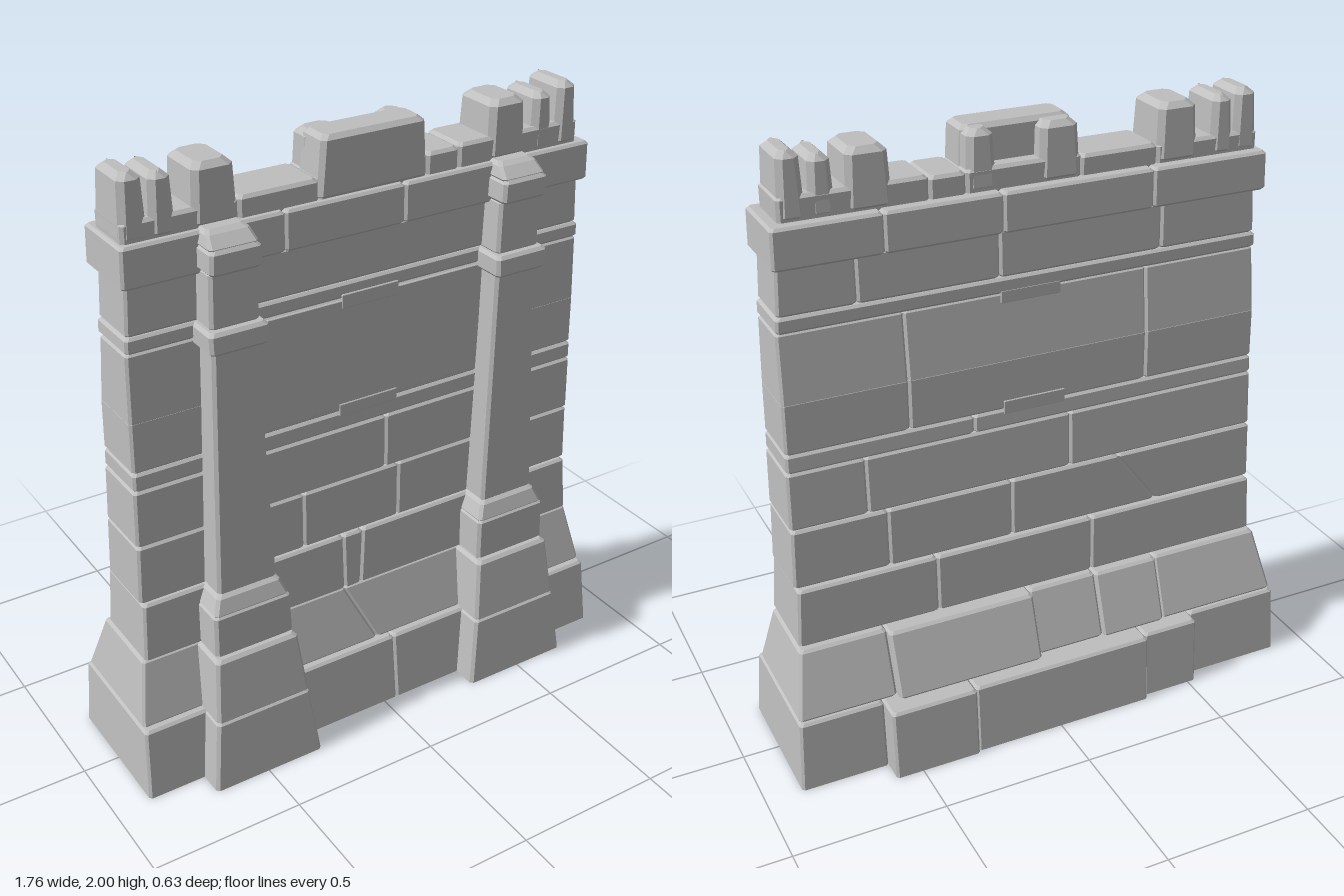
import * as THREE from 'three';

const stone = new THREE.MeshStandardMaterial({ color: 0xbfbfbf });
stone.name = 'grey stone';

// Chamfered, tapering stone. Rectangles are [x0, x1, z0, z1] at the bottom and the top.
function block(name, y0, y1, bottom, top, c = 0.008) {
  const ring = (t, inset) => {
    let [x0, x1, z0, z1] = bottom.map((v, i) => v + (top[i] - v) * t);
    x0 += inset; x1 -= inset; z0 += inset; z1 -= inset;
    const y = y0 + (y1 - y0) * t;
    return [[x1, z1 - c], [x1, z0 + c], [x1 - c, z0], [x0 + c, z0],
      [x0, z0 + c], [x0, z1 - c], [x0 + c, z1], [x1 - c, z1]]
      .map(([x, z]) => new THREE.Vector3(x, y, z));
  };
  const e = c / (y1 - y0);
  const rings = [ring(0, y0 === 0 ? 0 : c), ring(e, 0), ring(1 - e, 0), ring(1, c)];
  const points = [];
  for (let i = 0; i < 3; i++) {
    for (let j = 0; j < 8; j++) {
      const k = (j + 1) % 8;
      const [p, q, r, s] = [rings[i][j], rings[i][k], rings[i + 1][k], rings[i + 1][j]];
      points.push(p, q, r, p, r, s);
    }
  }
  for (let j = 1; j < 7; j++) {
    points.push(rings[0][0], rings[0][j + 1], rings[0][j]);
    points.push(rings[3][0], rings[3][j], rings[3][j + 1]);
  }
  const geometry = new THREE.BufferGeometry().setFromPoints(points);
  geometry.computeVertexNormals();
  const mesh = new THREE.Mesh(geometry, stone);
  mesh.name = name;
  return mesh;
}

// One course of bricks. b and t are [half width, front z, back z] at the bottom and top.
// A joint is an x value, or [bottom x, top x] where the joint runs along a slanted crack.
function course({ name, y, b, t, front = [], back = [], push = [] }) {
  const group = new THREE.Group();
  group.name = name;
  const edges = (joints) => [[-b[0], -t[0]], ...joints.map((j) => (Array.isArray(j) ? j : [j, j])), [b[0], t[0]]];
  const f = edges(front);
  for (let i = 0; i + 1 < f.length; i++) {
    group.add(block('frontBrick', y[0], y[1],
      [f[i][0], f[i + 1][0], -0.02, b[1]], [f[i][1], f[i + 1][1], -0.02, t[1]]));
  }
  const k = edges(back);
  for (let i = 0; i + 1 < k.length; i++) {
    const d = push[i] || 0;
    group.add(block('backBrick', y[0], y[1],
      [k[i][0], k[i + 1][0], b[2] - d, 0.05], [k[i][1], k[i + 1][1], t[2] - d, 0.05]));
  }
  return group;
}

const COURSES = [
  { name: 'footingCourse', y: [0, 0.24], b: [0.88, 0.23, -0.24], t: [0.867, 0.205, -0.225],
    front: [0.05], back: [-0.53, -0.33, 0.3, 0.59], push: [0, 0.045, 0.065, 0.075, 0] },
  { name: 'slopedCourse', y: [0.24, 0.45], b: [0.865, 0.185, -0.215], t: [0.825, 0.13, -0.14],
    front: [[0, -0.1], [0.68, 0.58]], back: [-0.43, -0.2, 0.04, 0.54], push: [0, 0.008, 0, 0.028, 0] },
  { name: 'plinthCourse', y: [0.45, 0.65], b: [0.82, 0.14, -0.12], t: [0.808, 0.13, -0.115],
    front: [-0.1, [-0.04, -0.025]], back: [-0.2, 0.35] },
  { name: 'lowerCourse', y: [0.65, 0.85], b: [0.815, 0.12, -0.098], t: [0.808, 0.12, -0.095],
    front: [-0.24, 0.115], back: [[-0.45, -0.3], 0.08, 0.5] },
  { name: 'middleCourse', y: [0.85, 1.04], b: [0.81, 0.12, -0.09], t: [0.806, 0.12, -0.082],
    front: [0.065], back: [-0.13, 0.56] },
  { name: 'thinCourse', y: [1.04, 1.1], b: [0.805, 0.12, -0.083], t: [0.804, 0.12, -0.08], back: [0.2] },
  { name: 'panelCourseLower', y: [1.1, 1.27], b: [0.804, 0.118, -0.08], t: [0.802, 0.118, -0.078], back: [-0.4, 0.41] },
  { name: 'panelCourseUpper', y: [1.255, 1.48], b: [0.802, 0.118, -0.078], t: [0.797, 0.115, -0.055], back: [-0.4, 0.41] },
  { name: 'bandCourse', y: [1.48, 1.53], b: [0.798, 0.12, -0.066], t: [0.796, 0.12, -0.066] },
  { name: 'upperCourse', y: [1.53, 1.68], b: [0.792, 0.115, -0.062], t: [0.785, 0.115, -0.058], back: [-0.45, 0.1, 0.55] },
  { name: 'cornice', y: [1.68, 1.805], b: [0.803, 0.14, -0.095], t: [0.8, 0.14, -0.092],
    front: [-0.295, 0.11], back: [-0.4, 0.1, 0.47] },
];

// Pilaster stones stacked up: y range, then [half width, front z] at the bottom and top.
const PILASTER = [
  ['buttressFoot', 0, 0.24, [0.193, 0.315], [0.165, 0.29]],
  ['buttressSlope', 0.232, 0.45, [0.165, 0.29], [0.143, 0.26]],
  ['pilasterPlinth', 0.45, 0.6, [0.136, 0.245], [0.132, 0.24]],
  ['pilasterPlinthSlope', 0.59, 0.655, [0.132, 0.24], [0.106, 0.215]],
  ['pilasterShaft', 0.65, 1.465, [0.102, 0.21], [0.074, 0.193]],
  ['pilasterBand', 1.46, 1.53, [0.095, 0.225], [0.095, 0.222]],
  ['pilasterNeck', 1.525, 1.7, [0.08, 0.198], [0.073, 0.193]],
  ['pilasterCap', 1.695, 1.77, [0.083, 0.22], [0.08, 0.22]],
  ['pilasterCapSlope', 1.762, 1.812, [0.08, 0.22], [0.066, 0.165]],
];

// Battlement stones: x range, z range and top height.
const MERLONS = [
  [-0.787, -0.702, -0.055, 0.12, 1.995], [-0.7, -0.62, -0.058, 0.125, 1.985],
  [-0.572, -0.43, -0.06, 0.125, 1.985],
  [0.425, 0.565, -0.06, 0.125, 1.985],
  [0.592, 0.672, -0.055, 0.12, 1.98], [0.68, 0.762, -0.058, 0.125, 2],
  [-0.17, -0.035, -0.06, 0.05, 1.98], [0.1, 0.197, -0.055, 0.05, 1.985],
];

export function createModel() {
  const model = new THREE.Group();
  model.name = 'castleWall';
  COURSES.forEach((c) => model.add(course(c)));

  // Two stepped pilasters on the front
  for (const side of [-1, 1]) {
    const group = new THREE.Group();
    group.name = side > 0 ? 'leftPilaster' : 'rightPilaster';
    const x = side * 0.495;
    for (const [name, y0, y1, [w0, z0], [w1, z1]] of PILASTER) {
      group.add(block(name, y0, y1, [x - w0, x + w0, 0, z0], [x - w1, x + w1, 0, z1], 0.01));
    }
    model.add(group);
  }

  // Smooth front panel and small keyed tabs on both faces
  const plate = (name, x0, x1, y0, y1, z) => model.add(
    block(name, y0, y1, [x0, x1, z - 0.004, z + 0.004], [x0, x1, z - 0.004, z + 0.004], 0.002));
  plate('frontPanel', -0.4, 0.4, 1.115, 1.475, 0.118);
  plate('frontUpperTab', -0.1, 0.1, 1.45, 1.495, 0.122);
  plate('frontLowerTab', -0.11, 0.1, 1.09, 1.13, 0.122);
  plate('backUpperTab', -0.1, 0.1, 1.45, 1.49, -0.063);
  plate('backLowerTab', -0.11, 0.1, 1.085, 1.13, -0.08);

  // Parapet and merlons
  const parapet = [[-0.785, -0.43, 1.865], [-0.43, -0.17, 1.868], [-0.172, 0.2, 1.875], [0.2, 0.315, 1.872], [0.315, 0.765, 1.878]];
  for (const [x0, x1, top] of parapet) {
    const r = [x0, x1, -0.052, 0.118];
    model.add(block('parapetStone', 1.79, top, r, r, 0.01));
  }
  for (const [x0, x1, z0, z1, top] of MERLONS) {
    model.add(block('merlon', 1.8, top, [x0, x1, z0, z1], [x0 + 0.008, x1 - 0.008, z0 + 0.01, z1 - 0.006], 0.018));
  }
  model.add(block('centreMerlon', 1.8, 1.988, [-0.178, 0.2, -0.005, 0.125], [-0.158, 0.192, 0, 0.12], 0.014));
  return model;
}
